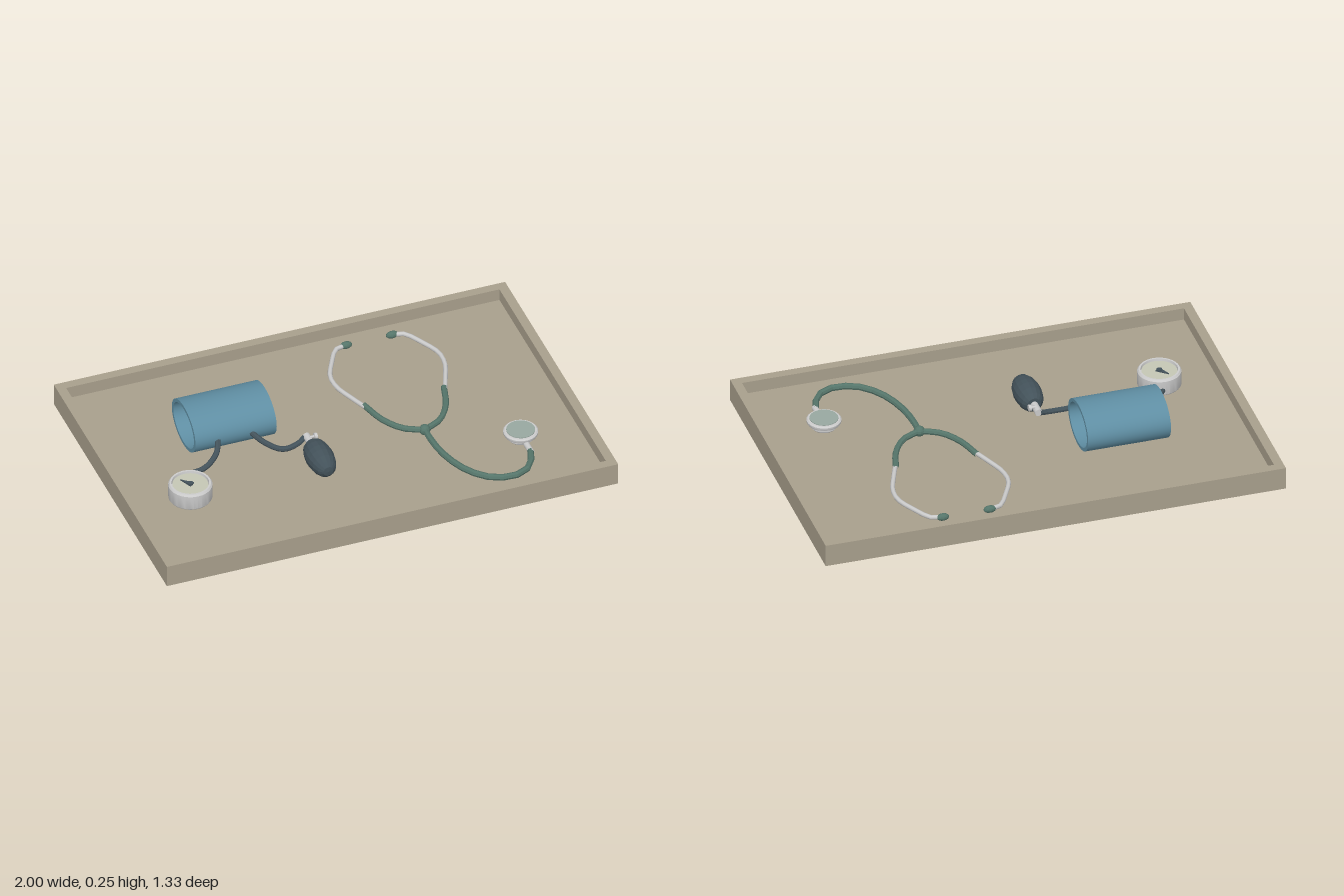
import * as THREE from 'three';
import { toCreasedNormals } from 'three/addons/utils/BufferGeometryUtils.js';

const FLOOR = 0.045;
const mat = (color, extra = {}) => new THREE.MeshStandardMaterial({ color, ...extra });
const tan = mat(0xa89f8c);
const blue = mat(0x5f8ea3);
const rubber = mat(0x43525a, { flatShading: true });
const green = mat(0x55756a, { flatShading: true });
const metal = mat(0xcccccc);
const dialColor = mat(0xc4c6b4);
const discColor = mat(0x98a8a0);

export function createModel() {
  const root = new THREE.Group();

  function add(name, geometry, material, x = 0, y = 0, z = 0, parent = root) {
    const mesh = new THREE.Mesh(geometry, material);
    mesh.name = name;
    mesh.position.set(x, y, z);
    parent.add(mesh);
    return mesh;
  }
  function group(name) {
    const g = new THREE.Group();
    g.name = name;
    root.add(g);
    return g;
  }
  // Tube through [x, y, z] points
  function tube(name, points, radius, material, parent, steps = 14) {
    const curve = new THREE.CatmullRomCurve3(points.map(p => new THREE.Vector3(...p)));
    return add(name, new THREE.TubeGeometry(curve, steps, radius, 8), material, 0, 0, 0, parent);
  }
  // Turned part from [radius, height] points, with crisp edges
  function lathe(points, segments = 32) {
    const g = new THREE.LatheGeometry(points.map(p => new THREE.Vector2(...p)), segments);
    return toCreasedNormals(g, 0.6);
  }

  // Tray: floor slab and a raised border
  const tray = group('tray');
  add('trayFloor', new THREE.BoxGeometry(1.92, FLOOR, 1.254), tan, 0, FLOOR / 2, 0, tray);
  const border = (w, d) => [[-w, -d], [w, -d], [w, d], [-w, d]].map(p => new THREE.Vector2(...p));
  const rim = new THREE.Shape(border(1, 0.667));
  rim.holes.push(new THREE.Path(border(0.96, 0.627)));
  const rimGeo = new THREE.ExtrudeGeometry(rim, { depth: 0.1, bevelEnabled: false });
  rimGeo.rotateX(-Math.PI / 2);
  add('trayRim', rimGeo, tan, 0, 0, 0, tray);

  // Rolled arm cuff: hollow oval sleeve lying along x
  const ring = new THREE.Shape().absellipse(0, 0, 0.14, 0.1, 0, Math.PI * 2);
  ring.holes.push(new THREE.Path().absellipse(0, 0, 0.122, 0.086, 0, Math.PI * 2));
  let cuffGeo = new THREE.ExtrudeGeometry(ring, { depth: 0.36, bevelEnabled: false, curveSegments: 24 });
  cuffGeo.rotateY(Math.PI / 2);
  cuffGeo = toCreasedNormals(cuffGeo, 0.6);
  add('cuff', cuffGeo, blue, -0.615, FLOOR + 0.1, -0.16);

  // Hoses from the cuff to the gauge and to the bulb
  tube('gaugeHose', [[-0.51, 0.14, -0.035], [-0.54, 0.11, 0.025], [-0.60, 0.075, 0.055],
    [-0.68, 0.07, 0.072], [-0.71, 0.07, 0.11]], 0.012, rubber);
  tube('bulbHose', [[-0.37, 0.14, -0.035], [-0.325, 0.11, 0.025], [-0.26, 0.085, 0.062],
    [-0.19, 0.09, 0.055], [-0.147, 0.105, 0.035]], 0.012, rubber);

  // Pressure gauge: cup with rim, dial, needle and hub
  const gauge = group('gauge');
  gauge.position.set(-0.715, FLOOR, 0.185);
  add('gaugeCase', lathe([[0, 0], [0.088, 0], [0.092, 0.006], [0.092, 0.068], [0.086, 0.076],
    [0.078, 0.076], [0.076, 0.064], [0, 0.064]]), metal, 0, 0, 0, gauge);
  add('gaugeDial', new THREE.CylinderGeometry(0.075, 0.075, 0.004, 32), dialColor, 0, 0.065, 0, gauge);
  const pointer = new THREE.Shape([[-0.014, -0.01], [0.014, -0.01], [0, 0.05]].map(p => new THREE.Vector2(...p)));
  const pointerGeo = new THREE.ExtrudeGeometry(pointer, { depth: 0.005, bevelEnabled: false });
  pointerGeo.rotateX(-Math.PI / 2);
  add('gaugeNeedle', pointerGeo, rubber, 0, 0.067, 0, gauge).rotation.y = 0.65;
  add('gaugeHub', new THREE.CylinderGeometry(0.012, 0.012, 0.009, 12), rubber, 0, 0.071, 0, gauge);

  // Squeeze bulb along z, with a metal valve and side screw
  const pump = group('pump');
  pump.position.set(-0.145, 0.105, 0);
  const bulbGeo = new THREE.LatheGeometry([[0, 0.1], [0.03, 0.1], [0.046, 0.12], [0.055, 0.15], [0.059, 0.185],
    [0.058, 0.215], [0.052, 0.25], [0.04, 0.28], [0.022, 0.297], [0, 0.3]].map(p => new THREE.Vector2(...p)), 16);
  bulbGeo.rotateX(Math.PI / 2);
  add('bulb', bulbGeo, rubber, 0, 0, 0, pump);
  add('valve', new THREE.CylinderGeometry(0.016, 0.016, 0.07, 12), metal, 0, 0, 0.07, pump).rotation.x = Math.PI / 2;
  add('valveStem', new THREE.CylinderGeometry(0.006, 0.006, 0.03, 8), metal, 0.018, 0.012, 0.065, pump).rotation.z = Math.PI / 2;
  add('valveScrew', new THREE.CylinderGeometry(0.014, 0.014, 0.012, 12), metal, 0.03, 0.012, 0.065, pump).rotation.z = Math.PI / 2;

  // Stethoscope
  const scope = group('stethoscope');
  const y = FLOOR + 0.016;
  const cx = 0.35;
  for (const s of [-1, 1]) {
    const path = pts => pts.map(([x, z]) => [cx + s * x, y, z]);
    tube('earTube', path([[0.115, -0.54], [0.15, -0.53], [0.20, -0.45], [0.24, -0.36], [0.238, -0.28],
      [0.21, -0.20], [0.17, -0.10]]), 0.01, metal, scope);
    tube('yokeTube', path([[0.177, -0.13], [0.14, -0.01], [0.08, 0.075], [0, 0.115]]), 0.013, green, scope, 8);
    const tip = add('earTip', new THREE.SphereGeometry(0.016, 12, 8), green, cx + s * 0.102, y, -0.542, scope);
    tip.scale.x = 1.7;
  }
  add('junction', new THREE.SphereGeometry(0.024, 12, 8), green, cx, y, 0.115, scope);
  tube('mainTube', [[0.35, 0.115], [0.353, 0.23], [0.38, 0.355], [0.43, 0.455], [0.50, 0.52], [0.59, 0.54],
    [0.67, 0.50], [0.71, 0.405]].map(([x, z]) => [x, y, z]), 0.014, green, scope, 12);

  // Chest piece: stem, waisted body and diaphragm disc
  add('chestStem', new THREE.CylinderGeometry(0.013, 0.013, 0.08, 12), metal, 0.71, y, 0.375, scope).rotation.x = Math.PI / 2;
  add('chestPiece', lathe([[0, 0], [0.05, 0], [0.055, 0.006], [0.055, 0.018], [0.07, 0.024], [0.073, 0.03],
    [0.073, 0.038], [0.068, 0.043], [0, 0.043]]), metal, 0.71, FLOOR, 0.288, scope);
  add('diaphragm', new THREE.CylinderGeometry(0.06, 0.06, 0.004, 32), discColor, 0.71, FLOOR + 0.044, 0.288, scope);

  return root;
}
